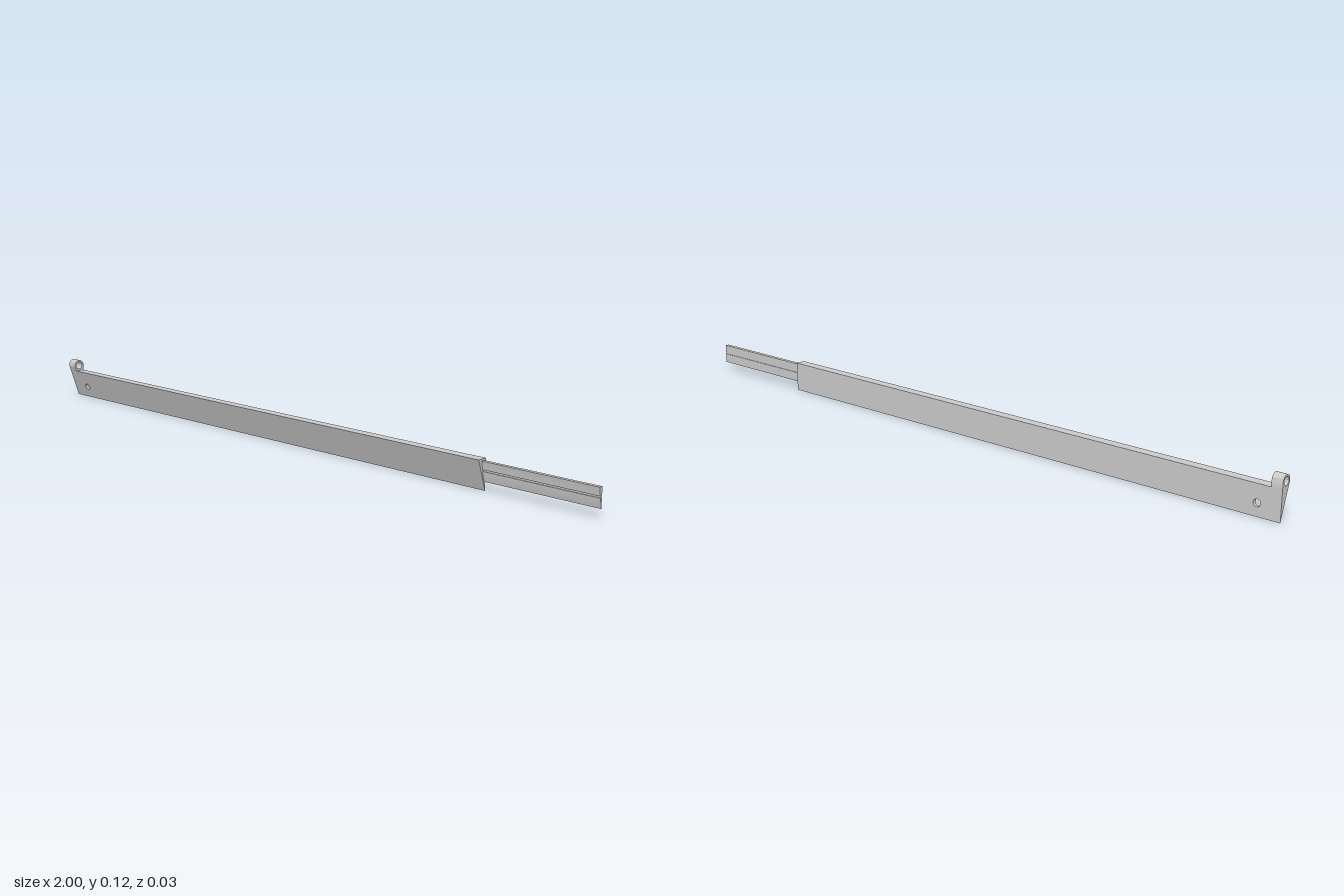
import * as THREE from 'three';
import { toCreasedNormals } from 'three/addons/utils/BufferGeometryUtils.js';

const BACK = -0.017, SLOPE = 0.343; // flat back plane and lean of the front face
const EYE_Y = 0.102, EYE_R = 0.017, BODY_TOP = 0.085;
const frontZ = (y) => BACK + SLOPE * y;

function polygon(points) {
  return new THREE.Shape(points.map(([a, b]) => new THREE.Vector2(a, b)));
}

function addHole(shape, x, y, r) {
  shape.holes.push(new THREE.Path().absarc(x, y, r, 0, Math.PI * 2, true));
}

function extrude(shape, depth) {
  return new THREE.ExtrudeGeometry(shape, { depth, bevelEnabled: false, curveSegments: 32 });
}

// Extrudes a (z, y) cross-section along x between x0 and x1
function alongX(shape, x0, x1) {
  return extrude(shape, x1 - x0).rotateY(-Math.PI / 2).translate(x1, 0, 0);
}

export function createModel() {
  const group = new THREE.Group();
  const material = new THREE.MeshStandardMaterial({ color: 0xcccccc });
  const add = (name, geometry) => {
    const mesh = new THREE.Mesh(toCreasedNormals(geometry, 0.5), material);
    mesh.name = name;
    group.add(mesh);
  };

  // Wedge-shaped sleeve with a pin hole, front face leaning out towards the top
  const side = polygon([[-1, 0], [0.66, 0], [0.66, BODY_TOP], [-1, BODY_TOP]]);
  addHole(side, -0.935, 0.035, 0.01);
  const body = extrude(side, 1);
  const pos = body.attributes.position;
  for (let i = 0; i < pos.count; i++) {
    pos.setZ(i, pos.getZ(i) > 0.5 ? frontZ(pos.getY(i)) : BACK);
  }
  add('wedgeSleeve', body);

  // Hinge eye standing on the end of the sleeve
  const lean = Math.atan(SLOPE);
  const eye = new THREE.Shape();
  eye.moveTo(BACK, BODY_TOP);
  eye.lineTo(frontZ(BODY_TOP), BODY_TOP);
  eye.absarc(0, EYE_Y, EYE_R, -lean, Math.PI, false);
  eye.closePath();
  addHole(eye, 0, EYE_Y, 0.0115);
  add('hingeEye', alongX(eye, -1, -0.97));

  // Sliding tongue: tapered bar with a narrow groove on both faces
  const b = -0.0115;
  const tongue = polygon([
    [b, 0.025], [b + 0.0005, 0.025], [-0.005, 0.052], [-0.0075, 0.052], [-0.0075, 0.057],
    [-0.004, 0.057], [0, 0.08], [b, 0.08], [b, 0.057], [-0.0095, 0.057], [-0.0095, 0.052], [b, 0.052],
  ]);
  add('slidingTongue', alongX(tongue, 0.66, 1));

  return group;
}
